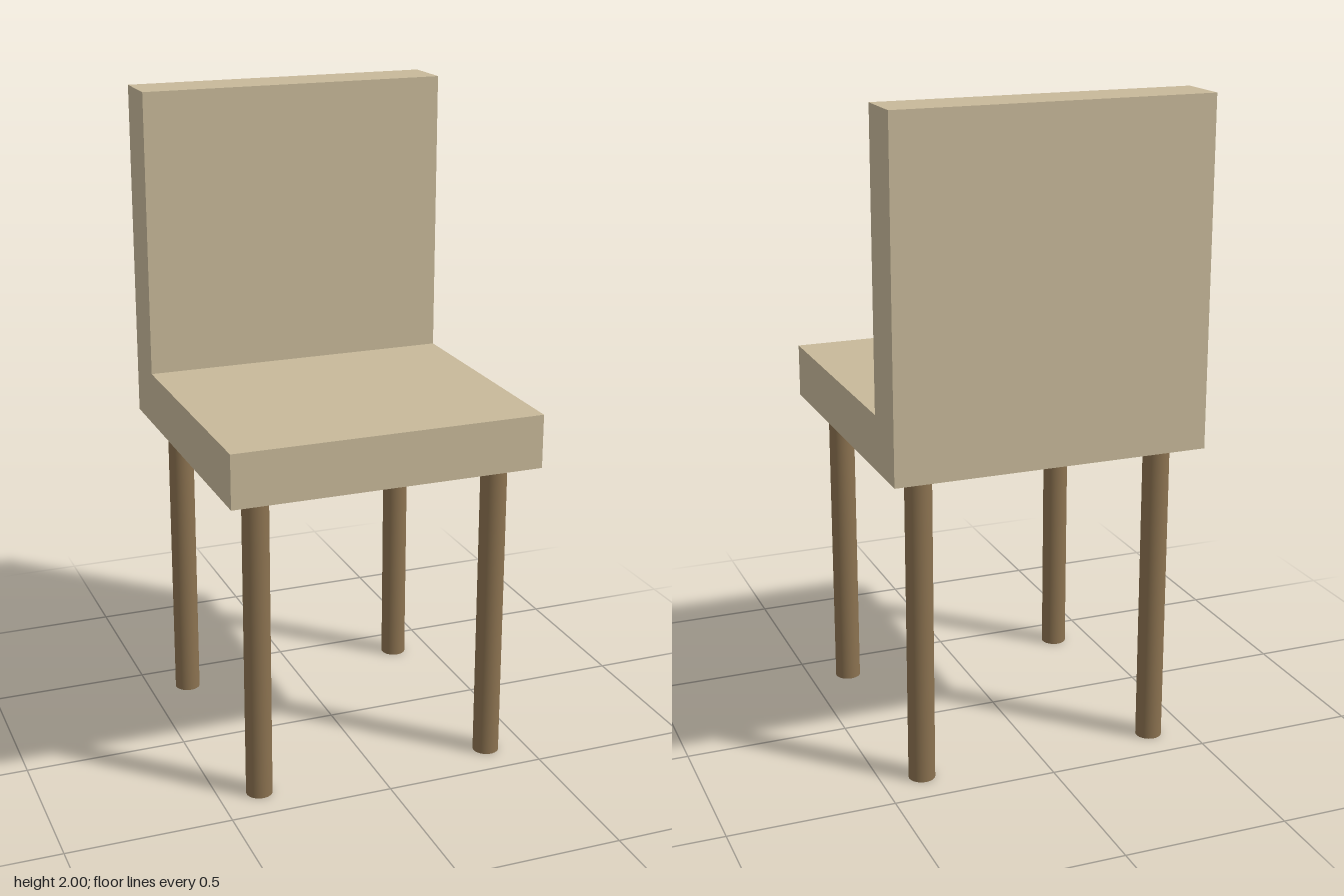
import * as THREE from 'three';

const HALF = 0.48; // half width and depth of the seat
const SEAT_BOTTOM = 0.96;
const SEAT_TOP = 1.125;
const BACK_FRONT = -0.315;
const LEG_OFFSET = 0.375;
const LEG_RADIUS = 0.04;

export function createModel() {
  const chair = new THREE.Group();
  chair.name = 'chair';

  const upholstery = new THREE.MeshStandardMaterial({ color: 0xc8b99a });
  const wood = new THREE.MeshStandardMaterial({ color: 0x8b7250 });

  // Seat and backrest: one L-shaped side profile (depth, height) extruded across the width
  const profile = new THREE.Shape([
    [-HALF, SEAT_BOTTOM], [HALF, SEAT_BOTTOM], [HALF, SEAT_TOP],
    [BACK_FRONT, SEAT_TOP], [BACK_FRONT, 2], [-HALF, 2],
  ].map(([z, y]) => new THREE.Vector2(z, y)));
  const seatGeometry = new THREE.ExtrudeGeometry(profile, { depth: 2 * HALF, bevelEnabled: false });
  seatGeometry.translate(0, 0, -HALF).rotateY(-Math.PI / 2);
  const seat = new THREE.Mesh(seatGeometry, upholstery);
  seat.name = 'seatAndBackrest';
  chair.add(seat);

  // Four round legs
  const legGeometry = new THREE.CylinderGeometry(LEG_RADIUS, LEG_RADIUS, SEAT_BOTTOM, 32);
  for (const [end, sz] of [['front', 1], ['back', -1]]) {
    for (const [side, sx] of [['Left', 1], ['Right', -1]]) {
      const leg = new THREE.Mesh(legGeometry, wood);
      leg.name = `${end}${side}Leg`;
      leg.position.set(sx * LEG_OFFSET, SEAT_BOTTOM / 2, sz * LEG_OFFSET);
      chair.add(leg);
    }
  }
  return chair;
}
